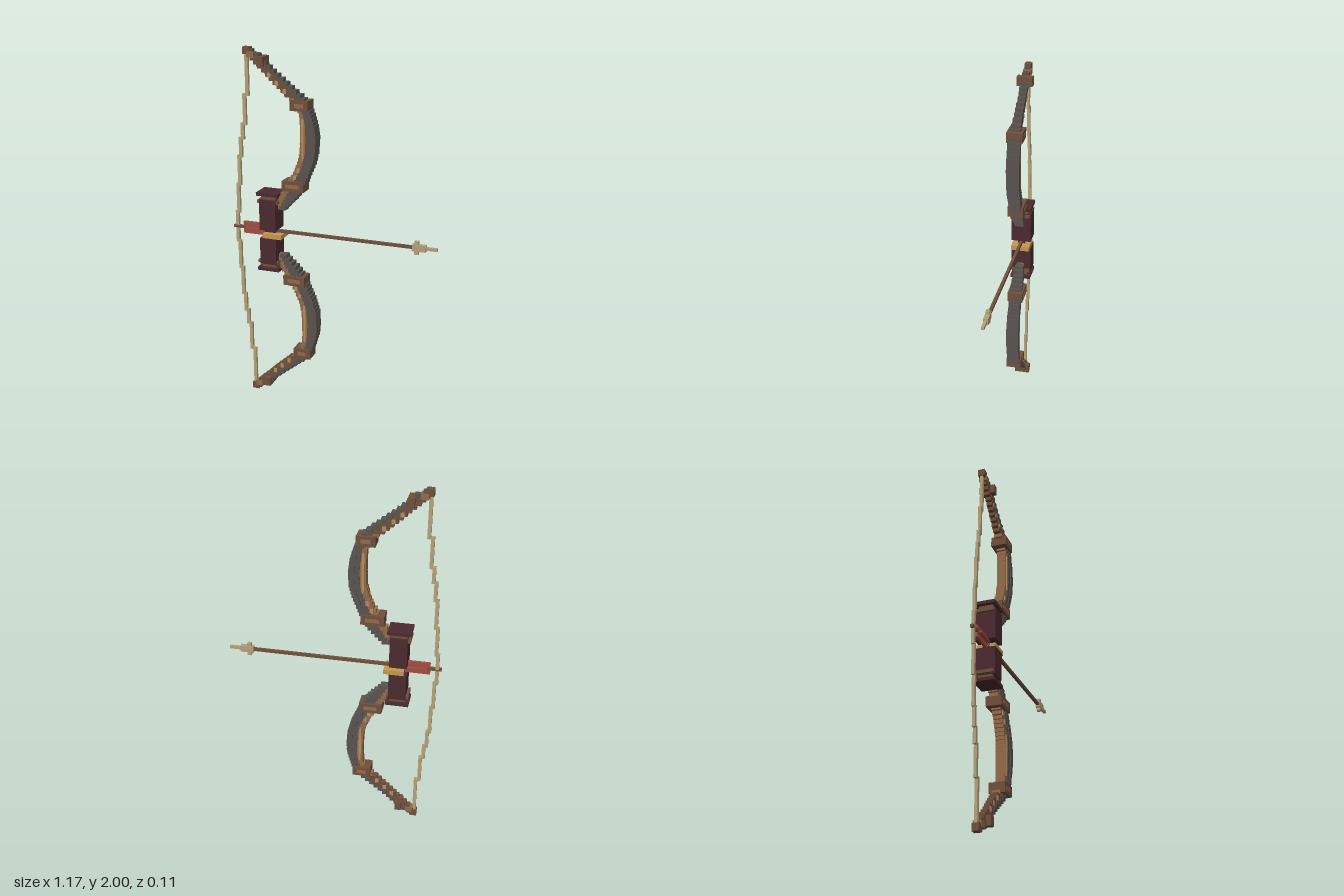
import * as THREE from 'three';

const mat = (name, color) => {
  const m = new THREE.MeshStandardMaterial({ color });
  m.name = name;
  return m;
};

export function createModel() {
  const root = new THREE.Group();
  root.name = 'bowAndArrow';
  const slate = mat('slate', 0x5a5350);
  const brown = mat('brown wood', 0x70503c);
  const copper = mat('light wood', 0x946a48);
  const tan = mat('tan inlay', 0xb48e5e);
  const cord = mat('cord', 0xb5a27a);
  const maroon = mat('maroon leather', 0x4b2a2f);
  const red = mat('red feather', 0xa34d43);
  const gold = mat('gold', 0xc4994f);

  // Box given by its x and y limits and its half depth
  const box = (parent, name, m, x0, x1, y0, y1, hz, z = 0) => {
    const mesh = new THREE.Mesh(new THREE.BoxGeometry(x1 - x0, Math.abs(y1 - y0), hz * 2), m);
    mesh.position.set((x0 + x1) / 2, (y0 + y1) / 2, z);
    mesh.name = name;
    parent.add(mesh);
  };

  // Limb outline: height, inner x, outer x, half depth
  const outline = [
    [1.13, -0.33, -0.27, 0.025], [1.17, -0.31, -0.235, 0.03], [1.21, -0.295, -0.195, 0.035],
    [1.25, -0.27, -0.165, 0.035], [1.29, -0.25, -0.145, 0.035], [1.34, -0.215, -0.125, 0.035],
    [1.40, -0.19, -0.1, 0.035], [1.46, -0.175, -0.085, 0.035], [1.54, -0.172, -0.08, 0.035],
    [1.60, -0.172, -0.088, 0.035], [1.66, -0.175, -0.105, 0.035], [1.72, -0.205, -0.125, 0.034],
    [1.76, -0.26, -0.165, 0.027], [1.80, -0.305, -0.215, 0.024], [1.84, -0.35, -0.265, 0.022],
    [1.88, -0.39, -0.315, 0.022], [1.92, -0.435, -0.36, 0.024], [1.96, -0.475, -0.40, 0.02],
    [1.99, -0.495, -0.46, 0.012],
  ];
  const sample = (y) => {
    let i = 0;
    while (i < outline.length - 2 && outline[i + 1][0] < y) i++;
    const a = outline[i], b = outline[i + 1];
    const t = Math.min(1, Math.max(0, (y - a[0]) / (b[0] - a[0])));
    return a.map((v, k) => v + (b[k] - v) * t);
  };

  for (const s of [1, -1]) {
    const limb = new THREE.Group();
    limb.name = s > 0 ? 'upperLimb' : 'lowerLimb';
    root.add(limb);
    const part = (name, m, x0, x1, y0, y1, hz, z) =>
      box(limb, name, m, x0, x1, 1 + s * (y0 - 1), 1 + s * (y1 - 1), hz, z);

    // Stepped layers: belly, core and outer plate
    const step = 0.02;
    for (let y = 1.13; y < 1.975; y += step) {
      const [, a, b, hz] = sample(y + step / 2);
      const w = b - a, straight = y > 1.36 && y < 1.68;
      part('limbBelly', y > 1.74 ? brown : copper, a, a + w * 0.36, y, y + step, hz * 0.7);
      part('limbCore', y > 1.74 ? brown : slate, a + w * 0.36, a + w * 0.64, y, y + step, hz * 0.85);
      part('limbPlate', slate, a + w * 0.64, b, y, y + step, straight ? hz : hz * 0.95);
    }

    // Inlays along the belly and the tapering tip
    for (const z of [-1, 1]) {
      part('bellyInlay', tan, -0.163, -0.15, 1.42, 1.64, 0.003, z * 0.026);
      for (const y of [1.32, 1.36, 1.78, 1.82, 1.86]) {
        const [, a, , hz] = sample(y);
        part('limbInlay', tan, a + 0.015, a + 0.035, y - 0.013, y + 0.013, 0.003, z * hz * 0.74);
      }
    }

    // Wrapped bands with small inlaid plates
    const bands = [[-0.275, -0.15, 1.245, 1.30], [-0.22, -0.12, 1.685, 1.74]];
    for (const [x0, x1, y0, y1] of bands) {
      part('band', brown, x0, x1, y0, y1, 0.043);
      for (const z of [-1, 1])
        part('bandPlate', copper, x0 + 0.025, x1 - 0.025, y0 + 0.017, y1 - 0.017, 0.003, z * 0.042);
    }

    // Tip with cross peg and string nock
    part('tipPeg', brown, -0.405, -0.37, 1.905, 1.955, 0.043);
    part('tipBlock', brown, -0.495, -0.455, 1.962, 2.0, 0.018);
    part('tipCollar', copper, -0.47, -0.43, 1.945, 1.975, 0.022);

    // Half of the grip with its collar and cap
    part('grip', maroon, -0.405, -0.31, s > 0 ? 1.012 : 1.035, 1.185, 0.056);
    part('gripCollar', brown, -0.42, -0.30, 1.165, 1.182, 0.05);
    part('gripNeck', brown, -0.40, -0.315, 1.18, 1.21, 0.04);
    part('gripCap', maroon, -0.422, -0.295, 1.207, 1.225, 0.057);

    // String, stepping back toward the nocked arrow
    const cuts = [1, 1.08, 1.24, 1.40, 1.50, 1.58, 1.74, 1.95];
    const xs = [-0.562, -0.552, -0.541, -0.529, -0.515, -0.499, -0.480];
    xs.forEach((x, i) =>
      part('bowString', cord, x - 0.0095, x + 0.0095, cuts[i], cuts[i + 1] + 0.012, 0.008));
  }

  // Arrow rest
  box(root, 'gripCore', maroon, -0.39, -0.325, 0.96, 1.015, 0.02);
  box(root, 'arrowRest', gold, -0.39, -0.28, 0.965, 0.991, 0.052);

  // Arrow
  const arrow = new THREE.Group();
  arrow.name = 'arrow';
  root.add(arrow);
  box(arrow, 'shaft', brown, -0.585, 0.46, 0.992, 1.008, 0.008);
  for (const y of [0.983, 1.017]) {
    box(arrow, 'feather', red, -0.525, -0.385, y - 0.017, y + 0.017, 0.007);
  }
  box(arrow, 'sideFeathers', red, -0.51, -0.40, 0.995, 1.005, 0.022);
  box(arrow, 'arrowHead', cord, 0.45, 0.525, 0.982, 1.018, 0.013);
  box(arrow, 'arrowBarb', cord, 0.463, 0.485, 0.963, 1.037, 0.01);
  box(arrow, 'arrowPoint', cord, 0.52, 0.585, 0.992, 1.008, 0.008);
  return root;
}
